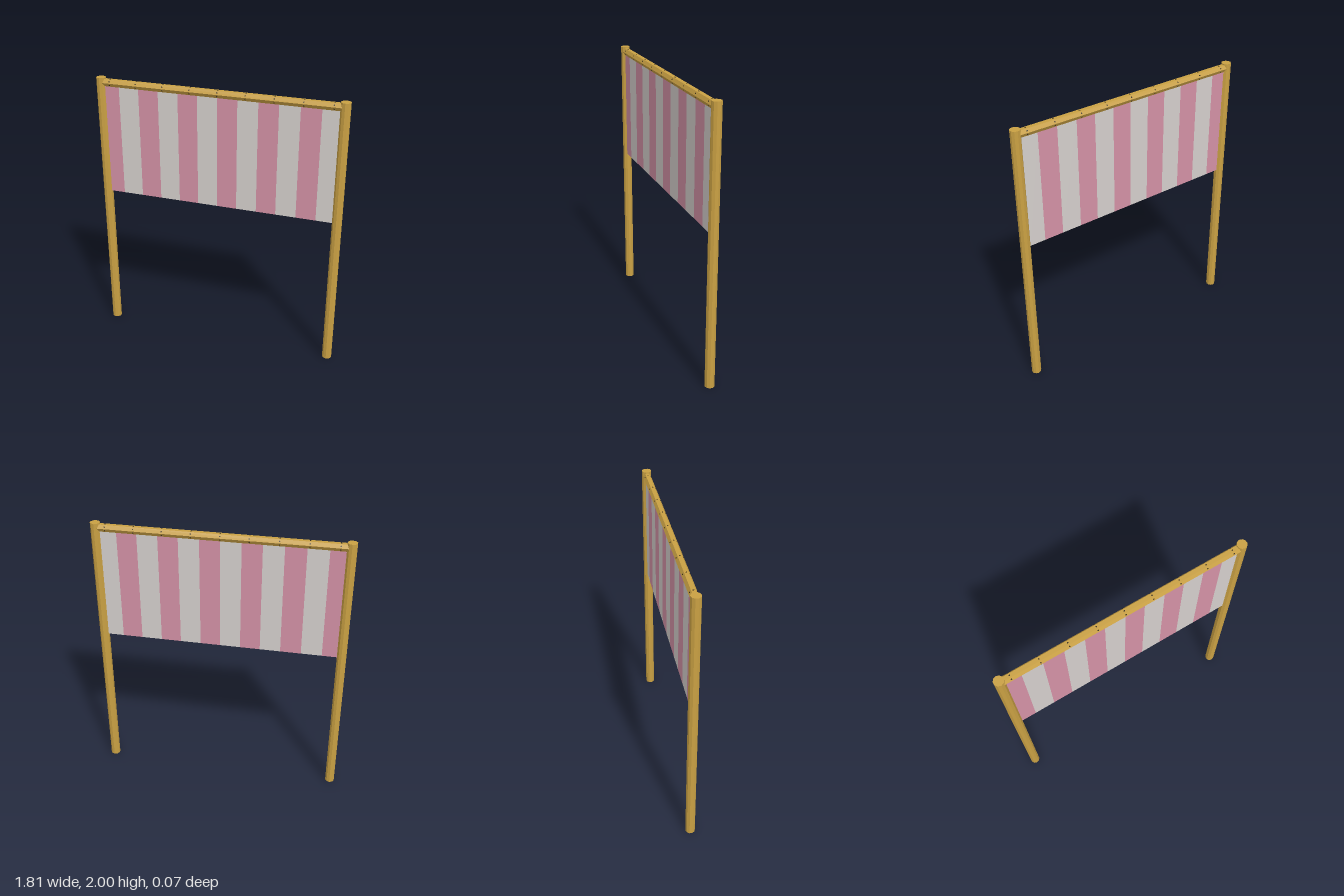
import * as THREE from 'three';

const material = (name, color) => {
  const m = new THREE.MeshStandardMaterial({ color, flatShading: true });
  m.name = name;
  return m;
};

export function createModel() {
  const wood = material('golden wood', 0xc9a043);
  const pink = material('pink cloth', 0xd391a5);
  const cream = material('pale grey cloth', 0xd4cfcc);
  const iron = material('dark iron', 0x3a2e18);

  const model = new THREE.Group();
  model.name = 'stripedBanner';
  const add = (name, geometry, mat, parent = model) => {
    const mesh = new THREE.Mesh(geometry, mat);
    mesh.name = name;
    parent.add(mesh);
    return mesh;
  };

  // Two ten-sided posts
  const postX = 0.872;
  for (const side of [-1, 1]) {
    const post = add(side > 0 ? 'leftPost' : 'rightPost', new THREE.CylinderGeometry(0.035, 0.035, 2, 10), wood);
    post.position.set(side * postX, 1, 0);
  }

  // Six-sided top rail with flat top and bottom, its ends buried in the posts
  const rail = new THREE.Group();
  rail.name = 'topRail';
  rail.position.y = 1.965;
  model.add(rail);
  const railRadius = 0.029;
  add('railBeam', new THREE.CylinderGeometry(railRadius, railRadius, postX * 2, 6).rotateZ(Math.PI / 2), wood, rail);

  // Rows of small nails on every face of the rail
  const nail = new THREE.CylinderGeometry(0.005, 0.005, 0.004, 6);
  nail.translate(0, railRadius * Math.cos(Math.PI / 6), 0);
  for (let face = 0; face < 6; face++) {
    for (let i = -4; i <= 4; i++) {
      const head = add('nail', nail, iron, rail);
      head.position.x = i * 0.2;
      head.rotation.x = face * Math.PI / 3;
    }
  }

  // Hanging cloth, split into alternating stripes
  const cloth = new THREE.Group();
  cloth.name = 'cloth';
  model.add(cloth);
  const edges = [-0.839, -0.733, -0.585, -0.437, -0.29, -0.147, 0, 0.143, 0.29, 0.433, 0.58, 0.723, 0.839];
  const bottom = 1.13, top = 1.95;
  for (let i = 0; i < edges.length - 1; i++) {
    const width = edges[i + 1] - edges[i];
    const stripe = add(i % 2 ? 'paleStripe' : 'pinkStripe',
      new THREE.BoxGeometry(width, top - bottom, 0.024), i % 2 ? cream : pink, cloth);
    stripe.position.set(edges[i] + width / 2, (top + bottom) / 2, 0);
  }

  return model;
}
